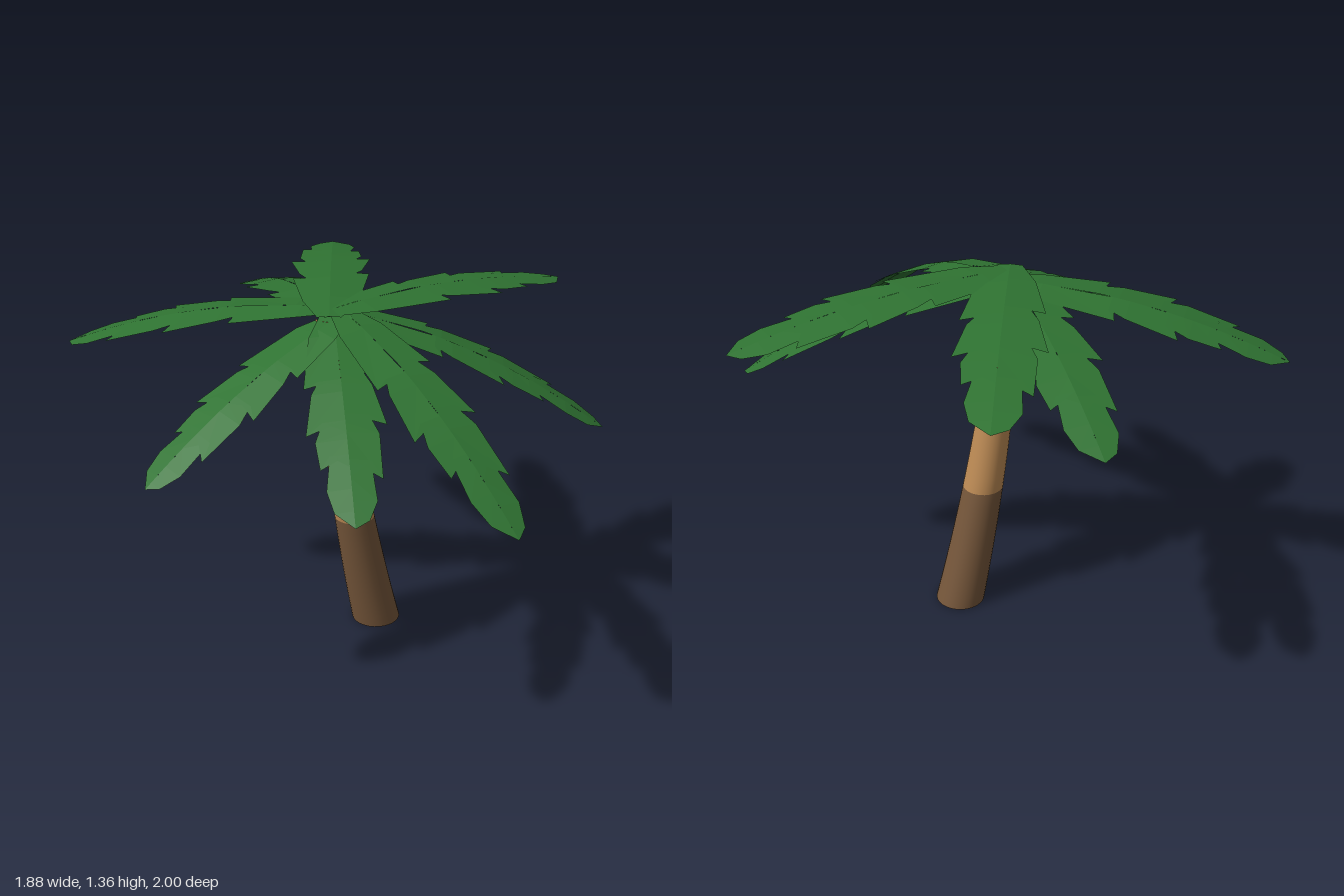
import * as THREE from 'three';

const tan = new THREE.MeshStandardMaterial({ color: 0xbc8a54 });
tan.name = 'tan bark';
const brown = new THREE.MeshStandardMaterial({ color: 0x75563a });
brown.name = 'dark bark';
const nutBrown = new THREE.MeshStandardMaterial({ color: 0x6e4630 });
nutBrown.name = 'nut brown';
const green = new THREE.MeshStandardMaterial({ color: 0x2f7332, side: THREE.DoubleSide });
green.name = 'leaf green';

// Leaning trunk: centre line and radius as functions of height
const trunkX = (y) => 0.09 - 0.24 * y + 0.06 * y * y;
const trunkR = (y) => 0.095 - 0.036 * y;
const TRUNK_Z = -0.04;

function trunkSection(y0, y1, rows) {
  const geo = new THREE.CylinderGeometry(1, 1, 1, 28, rows, true);
  const p = geo.attributes.position;
  for (let i = 0; i < p.count; i++) {
    const y = y0 + (p.getY(i) + 0.5) * (y1 - y0);
    const r = trunkR(y);
    p.setXYZ(i, trunkX(y) + p.getX(i) * r, y, TRUNK_Z + p.getZ(i) * r);
  }
  geo.computeVertexNormals();
  return geo;
}

// Torn edges of a frond: [fraction of length, half width]
const leftEdge = [[0, 0.04], [0.14, 0.09], [0.37, 0.13], [0.35, 0.08], [0.42, 0.11], [0.6, 0.145],
  [0.56, 0.085], [0.64, 0.115], [0.82, 0.11], [0.75, 0.075], [0.9, 0.083], [0.97, 0.05], [1, 0]];
const rightEdge = [[0, 0.04], [0.16, 0.1], [0.43, 0.135], [0.4, 0.08], [0.46, 0.11], [0.64, 0.14],
  [0.59, 0.08], [0.67, 0.11], [0.78, 0.1], [0.73, 0.065], [0.86, 0.085], [0.94, 0.065], [1, 0]];

// Frond: drooping midrib with a slightly folded blade on each side
function frondGeometry(base, lift, tip, width) {
  const a = new THREE.Vector3(...base);
  const c = new THREE.Vector3(...tip);
  const b = a.clone().lerp(c, 0.5).setY(lift);
  const rib = new THREE.QuadraticBezierCurve3(a, b, c);
  const across = new THREE.Vector3(-(c.z - a.z), 0, c.x - a.x).normalize();
  const out = [];
  const tri = (...pts) => pts.forEach((v) => out.push(v.x, v.y, v.z));
  for (const [edge, side] of [[leftEdge, -1], [rightEdge, 1]]) {
    const mids = edge.map((e) => e[0]).sort((m, n) => m - n).map((t) => rib.getPoint(t));
    const rim = edge.map(([t, w]) => {
      const v = rib.getPoint(t).addScaledVector(across, side * w * width);
      v.y -= 0.1 * w * width;
      return v;
    });
    for (let i = 0; i < edge.length - 1; i++) {
      if (side > 0) {
        tri(mids[i], rim[i], rim[i + 1]);
        tri(mids[i], rim[i + 1], mids[i + 1]);
      } else {
        tri(mids[i], rim[i + 1], rim[i]);
        tri(mids[i], mids[i + 1], rim[i + 1]);
      }
    }
  }
  const geo = new THREE.BufferGeometry();
  geo.setAttribute('position', new THREE.Float32BufferAttribute(out, 3));
  geo.computeVertexNormals();
  return geo;
}

// base, height of the bend, tip, width
const fronds = [
  [[-0.17, 1.36, -0.03], 1.41, [0.94, 1.285, -0.01], 1.05],
  [[-0.12, 1.35, -0.1], 1.29, [0.69, 0.91, 0.545], 1.05],
  [[-0.08, 1.36, -0.05], 1.29, [-0.1, 0.9, 1.0], 0.98],
  [[-0.1, 1.35, -0.05], 1.24, [-0.53, 0.95, 0.72], 0.95],
  [[-0.08, 1.35, 0.0], 1.24, [-0.94, 0.94, 0.09], 1.0],
  [[-0.06, 1.35, -0.05], 1.37, [-0.8, 1.155, -0.78], 1.1],
  [[-0.12, 1.35, 0.0], 1.37, [0.12, 1.15, -1.0], 1.0],
  [[-0.16, 1.36, 0.02], 1.41, [0.46, 1.29, -0.89], 1.08],
];

export function createModel() {
  const model = new THREE.Group();
  model.name = 'palmTree';
  const add = (name, geo, mat, parent = model) => {
    const mesh = new THREE.Mesh(geo, mat);
    mesh.name = name;
    parent.add(mesh);
    return mesh;
  };

  // Trunk
  add('lowerTrunk', trunkSection(0.01, 0.5, 10), brown);
  add('upperTrunk', trunkSection(0.5, 1.33, 14), tan);
  const foot = add('trunkBase', new THREE.CircleGeometry(trunkR(0.01), 28), tan);
  foot.rotation.x = Math.PI / 2;
  foot.position.set(trunkX(0.01), 0.01, TRUNK_Z);

  // Nuts tucked under the crown
  const nuts = new THREE.Group();
  nuts.name = 'nuts';
  for (const [x, y, z, r] of [[-0.13, 1.1, -0.035, 0.058], [-0.12, 1.18, -0.06, 0.054]]) {
    add('nut', new THREE.SphereGeometry(r, 16, 12), nutBrown, nuts).position.set(x, y, z);
  }
  model.add(nuts);

  // Crown
  const crown = new THREE.Group();
  crown.name = 'crown';
  fronds.forEach((f, i) => add(`frond${i + 1}`, frondGeometry(...f), green, crown));
  model.add(crown);
  return model;
}
